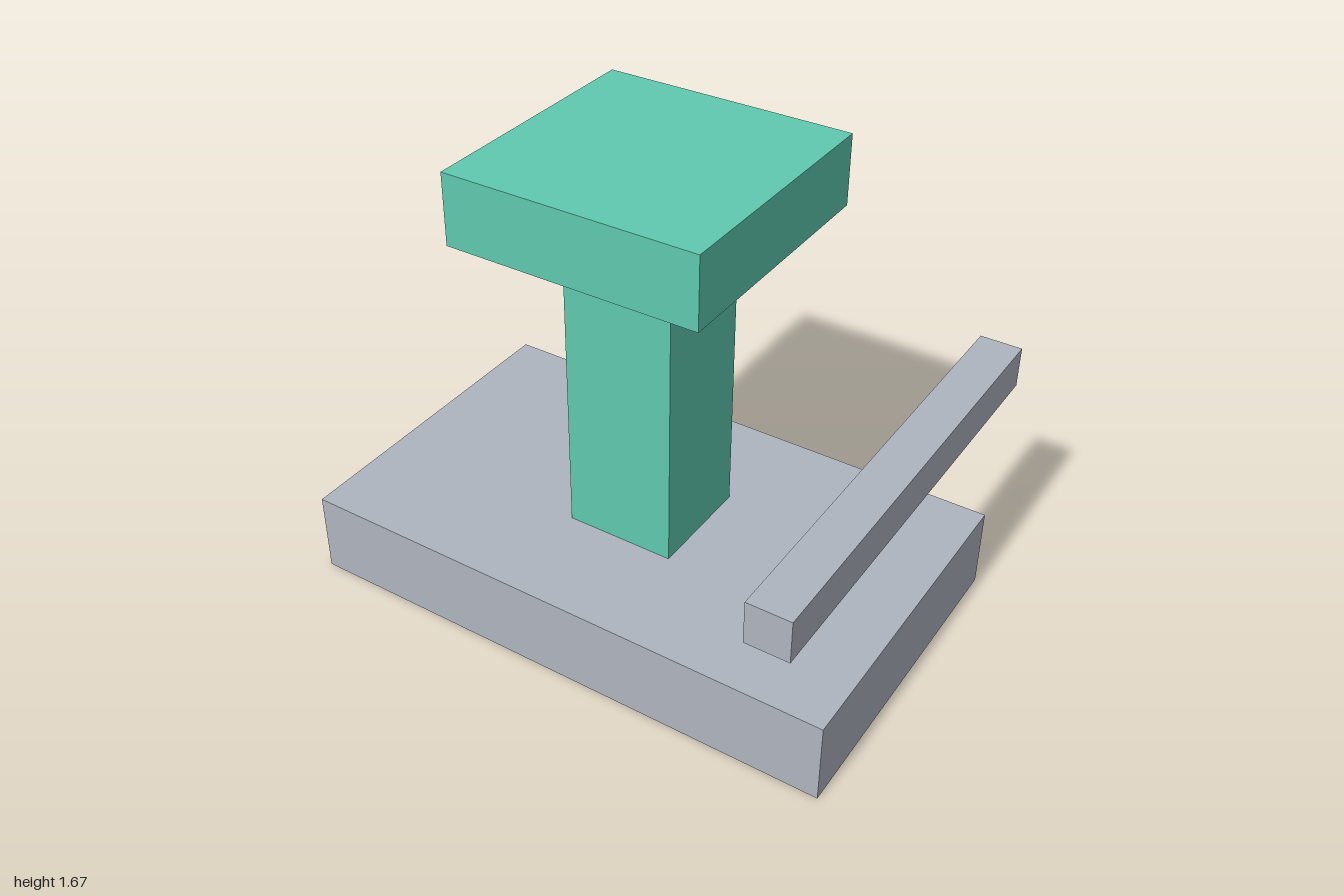
import * as THREE from 'three';

export function createModel() {
  const model = new THREE.Group();
  model.name = 'pedestalWithRail';

  const grey = new THREE.MeshStandardMaterial({ color: 0xaeb5bf });
  grey.name = 'cool grey';
  const green = new THREE.MeshStandardMaterial({ color: 0x60c9af });
  green.name = 'mint green';

  // Adds a box from its size and centre
  function addBox(name, material, size, centre) {
    const mesh = new THREE.Mesh(new THREE.BoxGeometry(...size), material);
    mesh.name = name;
    mesh.position.set(...centre);
    model.add(mesh);
  }

  // Wide slab on the ground with a square column standing on it
  addBox('base', grey, [2, 0.3, 1.2], [0, 0.15, 0]);
  addBox('column', green, [0.4, 1.1, 0.4], [0, 0.85, 0]);

  // Cap hovering just above the column
  addBox('cap', green, [0.9, 0.25, 0.9], [0, 1.55, 0]);

  // Free-floating rail along the left side
  addBox('sideRail', grey, [0.15, 0.15, 1.6], [0.9, 0.8, 0]);

  return model;
}
